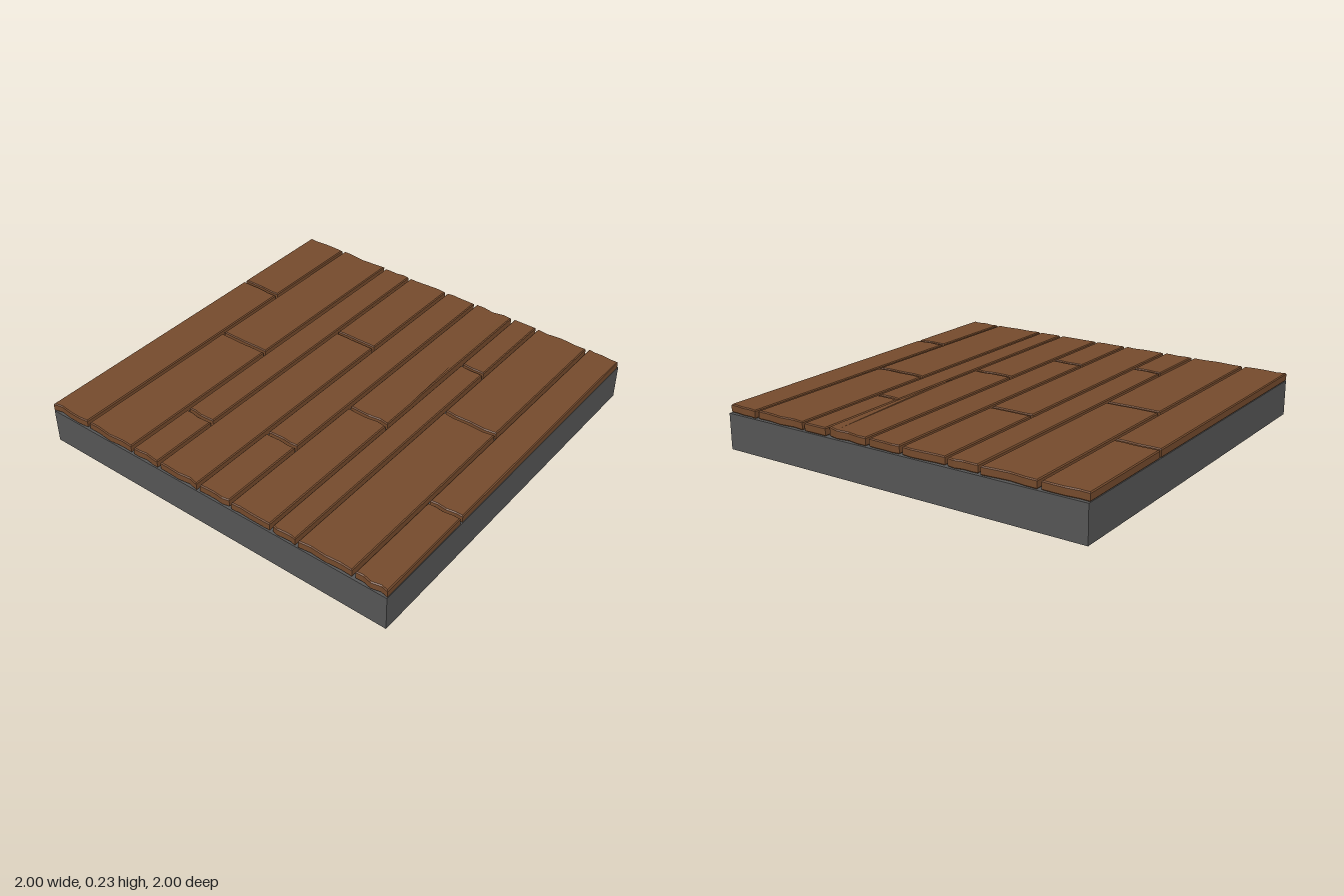
import * as THREE from 'three';

const BASE_H = 0.183, THICK = 0.042, BEVEL = 0.005, GAP = 0.016;

// Plank rows: back edge z, front edge z, x of the joint between the two boards
const ROWS = [
  [-1, -0.772, 0.4], [-0.755, -0.475, -0.05], [-0.456, -0.302, -0.63],
  [-0.285, -0.056, 0.325], [-0.038, 0.132, -0.53], [0.15, 0.37, -0.14],
  [0.387, 0.514, 0.48], [0.532, 0.815, 0.11], [0.832, 1, -0.455],
];

let seed = 7;
function wobble(amount) {
  seed = (seed * 16807) % 2147483647;
  return (seed / 2147483647 * 2 - 1) * amount;
}

// Uneven saw cut running from the back edge to the front edge of a row
function cutLine(x, z0, z1, amount) {
  return [0, 0.22, 0.5, 0.78, 1].map((t) => [x + wobble(amount), z0 + (z1 - z0) * t]);
}

// Board outline between two cut lines, extruded upwards with bevelled edges
function plankGeometry(left, right, sideX = []) {
  const [z0, z1] = [left[0][1], left[left.length - 1][1]];
  const outline = [
    ...left,
    ...sideX.map((x) => [x, z1]),
    ...right.slice().reverse(),
    ...sideX.slice().reverse().map((x) => [x, z0]),
  ];
  const shape = new THREE.Shape(outline.map(([x, z]) => new THREE.Vector2(x, -z)));
  const geometry = new THREE.ExtrudeGeometry(shape, {
    depth: THICK - 2 * BEVEL, bevelThickness: BEVEL, bevelSize: BEVEL,
    bevelOffset: -BEVEL, bevelSegments: 1, steps: 1,
  });
  geometry.rotateX(-Math.PI / 2);
  geometry.translate(0, BASE_H + BEVEL, 0);
  return geometry;
}

// Lift the upper front edge of one slightly warped board
function warp(geometry) {
  const p = geometry.attributes.position;
  for (let i = 0; i < p.count; i++) {
    if (p.getY(i) < BASE_H + THICK / 2) continue;
    const along = THREE.MathUtils.clamp((p.getX(i) - 0.06) / 0.09, 0, 1);
    const across = THREE.MathUtils.clamp((p.getZ(i) - 0.3) / 0.06, 0, 1);
    p.setY(i, p.getY(i) + 0.007 * along * across);
  }
  geometry.computeVertexNormals();
}

export function createModel() {
  const model = new THREE.Group();
  model.name = 'plankFloor';
  const stone = new THREE.MeshStandardMaterial({ color: 0x555555, flatShading: true });
  const wood = new THREE.MeshStandardMaterial({ color: 0x744a2c, flatShading: true });

  // Solid slab
  const slab = new THREE.Mesh(new THREE.BoxGeometry(2, BASE_H, 2), stone);
  slab.name = 'slab';
  slab.position.y = BASE_H / 2;
  model.add(slab);

  // Two boards per row, meeting at a parallel rough joint
  const planks = new THREE.Group();
  planks.name = 'planks';
  ROWS.forEach(([z0, z1, joint], i) => {
    const leftEnd = cutLine(-0.993, z0, z1, 0.006);
    const rightEnd = cutLine(0.988, z0, z1, 0.007);
    const seam = cutLine(joint, z0, z1, 0.005);
    const shifted = (dx) => seam.map(([x, z]) => [x + dx, z]);
    const warped = i === 5;
    const boards = [
      plankGeometry(leftEnd, shifted(-GAP / 2)),
      plankGeometry(shifted(GAP / 2), rightEnd, warped ? [0.06, 0.15] : []),
    ];
    if (warped) warp(boards[1]);
    boards.forEach((geometry, k) => {
      const plank = new THREE.Mesh(geometry, wood);
      plank.name = `plank${i + 1}${k ? 'Left' : 'Right'}`;
      planks.add(plank);
    });
  });
  model.add(planks);
  return model;
}
